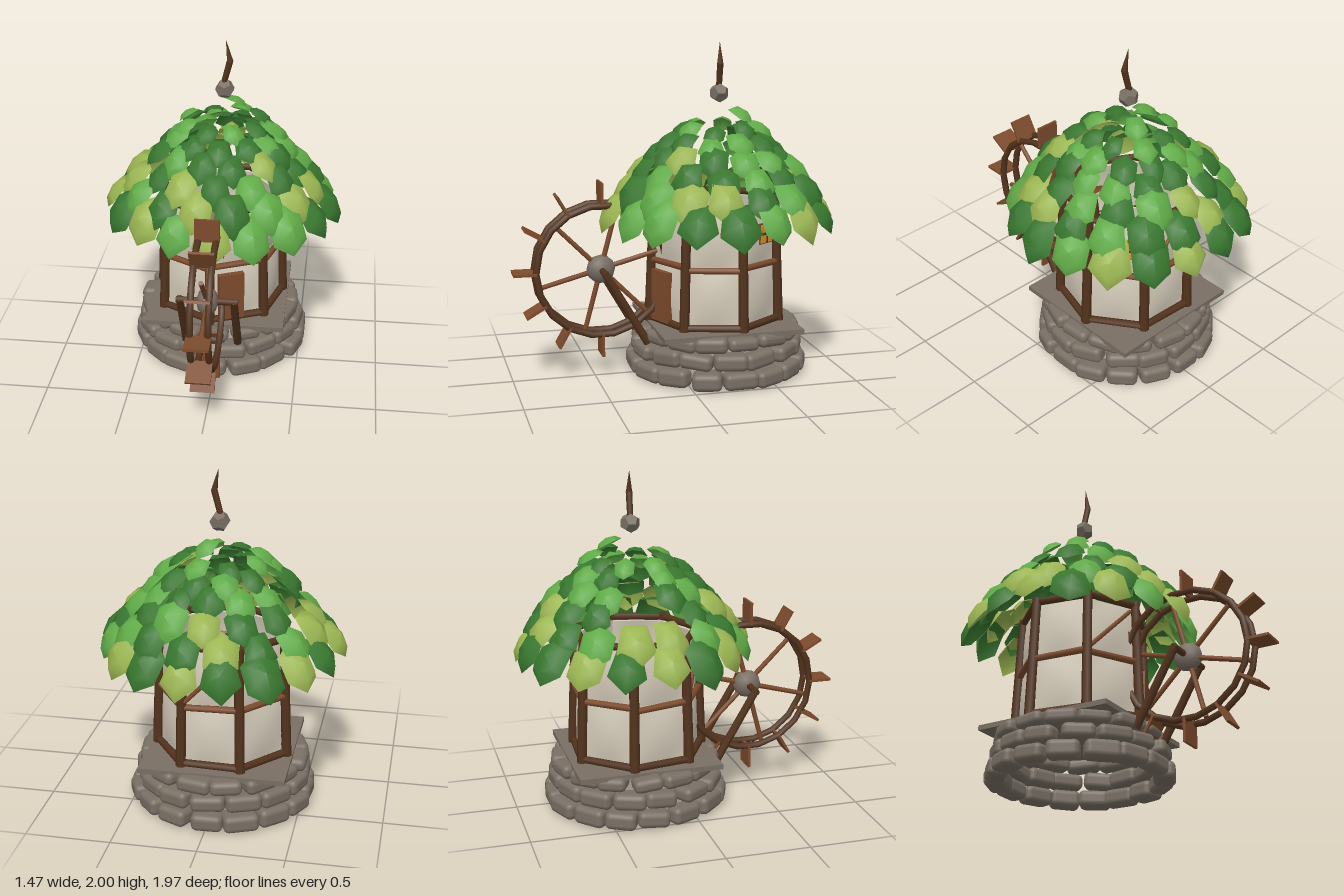
import * as THREE from 'three';
import { RoundedBoxGeometry } from 'three/addons/geometries/RoundedBoxGeometry.js';

const mat = (name, color, side = THREE.FrontSide) => {
  const m = new THREE.MeshStandardMaterial({ color, side });
  m.name = name;
  return m;
};

export function createModel() {
  const stone = mat('stone', 0x796f64);
  const plaster = mat('plaster', 0xd3cab8);
  const darkWood = mat('darkWood', 0x53331d);
  const lightWood = mat('lightWood', 0x7d4b2c);
  const amber = mat('amberGlass', 0xe0922a);
  const greens = [
    mat('darkLeaf', 0x38772f, THREE.DoubleSide),
    mat('midLeaf', 0x60ab47, THREE.DoubleSide),
    mat('limeLeaf', 0x9bb652, THREE.DoubleSide),
  ];

  let seed = 7;
  const rand = () => (seed = (seed * 16807) % 2147483647) / 2147483647;
  const vary = (a) => (rand() - 0.5) * 2 * a;
  const V = (x, y, z) => new THREE.Vector3(x, y, z);

  const model = new THREE.Group();
  model.name = 'leafRoofedWatermill';
  const group = (name, x, y, z) => {
    const g = new THREE.Group();
    g.name = name;
    g.position.set(x, y, z);
    model.add(g);
    return g;
  };
  const add = (parent, name, geo, material, x = 0, y = 0, z = 0) => {
    const m = new THREE.Mesh(geo, material);
    m.name = name;
    m.position.set(x, y, z);
    parent.add(m);
    return m;
  };
  // Round timber between two points
  const beam = (parent, name, a, b, r, material = darkWood, taper = 0.9) => {
    const d = b.clone().sub(a);
    const m = add(parent, name, new THREE.CylinderGeometry(r * taper, r, d.length(), 7), material);
    m.position.copy(a).addScaledVector(d, 0.5);
    m.quaternion.setFromUnitVectors(V(0, 1, 0), d.normalize());
    return m;
  };

  // Rings of rough foundation stones
  const base = group('foundation', -0.015, 0, -0.265);
  [[0.055, 0.49, 16, 0.105], [0.162, 0.465, 15, 0.096], [0.26, 0.445, 15, 0.085]].forEach(([y, r, n, h], row) => {
    for (let i = 0; i < n; i++) {
      const a = ((i + row * 0.5 + vary(0.08)) / n) * Math.PI * 2;
      const w = ((2 * Math.PI * r) / n) * (1.0 + vary(0.1));
      const s = add(base, 'foundationStone', new RoundedBoxGeometry(w, h + vary(0.008), 0.125 + vary(0.02), 3, 0.034),
        stone, Math.sin(a) * r, y, Math.cos(a) * r);
      s.rotation.set(vary(0.08), a + vary(0.08), vary(0.06));
    }
  });
  add(base, 'floorSlab', new THREE.BoxGeometry(0.86, 0.03, 0.86), stone, 0, 0.3, 0);

  // Seven-sided timber frame
  const house = group('house', -0.02, 0, -0.255);
  const SIDES = 7;
  const angle = (k) => ((-10 + (k * 360) / SIDES) * Math.PI) / 180;
  const radius = (y) => 0.406 - (y - 0.3) * 0.04;
  const corner = (k, y) => V(Math.cos(angle(k)) * radius(y), y, Math.sin(angle(k)) * radius(y));
  for (let k = 0; k < SIDES; k++) {
    beam(house, 'cornerPost', corner(k, 0.31), corner(k, 1.07), 0.031);
    beam(house, 'sillBeam', corner(k, 0.335), corner(k + 1, 0.335), 0.024);
    beam(house, 'middleRail', corner(k, 0.69 + vary(0.012)), corner(k + 1, 0.69 + vary(0.012)), 0.021, lightWood);
    beam(house, 'topPlate', corner(k, 1.05), corner(k + 1, 1.05), 0.023);
  }

  // Bulging plaster infill
  const panelGeo = (w, h) => {
    const g = new THREE.BoxGeometry(w, h, 0.02, 6, 6, 1);
    const p = g.attributes.position;
    for (let i = 0; i < p.count; i++) {
      const u = (2 * p.getX(i)) / w, v = (2 * p.getY(i)) / h;
      p.setZ(i, p.getZ(i) + 0.022 * (1 - u * u) * (1 - v * v));
    }
    g.computeVertexNormals();
    return g;
  };
  const walls = [];
  for (let k = 0; k < SIDES; k++) {
    const wall = new THREE.Group();
    wall.name = 'wall';
    wall.rotation.y = Math.PI / 2 - angle(k + 0.5);
    house.add(wall);
    walls.push(wall);
    [[0.51, 0.33, 0.332], [0.865, 0.33, 0.322]].forEach(([y, h, z]) => {
      add(wall, 'plasterPanel', panelGeo(0.32, h), plaster, 0, y, z).rotation.x = -0.03;
    });
  }
  // Diagonal braces, door and glowing window
  [2, 5].forEach((k) => beam(walls[k], 'brace', V(-0.15, 0.72, 0.36), V(0.12, 1.0, 0.352), 0.014, lightWood));
  add(walls[1], 'door', new THREE.BoxGeometry(0.16, 0.31, 0.035), lightWood, -0.04, 0.49, 0.372);
  const win = walls[6];
  add(win, 'windowFrame', new THREE.BoxGeometry(0.125, 0.125, 0.03), lightWood, 0.045, 0.878, 0.346);
  add(win, 'windowPane', new THREE.BoxGeometry(0.11, 0.11, 0.008), amber, 0.045, 0.878, 0.363);
  add(win, 'windowBar', new THREE.BoxGeometry(0.014, 0.11, 0.008), darkWood, 0.045, 0.878, 0.367);
  add(win, 'windowBar', new THREE.BoxGeometry(0.11, 0.014, 0.008), darkWood, 0.045, 0.878, 0.367);

  // Rows of cupped leaves forming the dome roof
  const roof = group('roof', 0, 0, -0.275);
  const leafGeo = [6, 5].map((n) => new THREE.LatheGeometry([[0.108, -0.026], [0.07, 0.014], [0, 0.03]]
    .map(([r, y]) => new THREE.Vector2(r, y)), n));
  const leaf = (r, y, phi, tilt, size, green) => {
    const m = add(roof, 'roofLeaf', leafGeo[rand() < 0.5 ? 0 : 1], greens[green],
      Math.sin(phi) * r, y, Math.cos(phi) * r);
    m.rotation.order = 'YXZ';
    m.rotation.set(tilt + vary(0.1), phi + vary(0.12), vary(0.12));
    m.scale.set(size, size * 1.15, size * 1.25);
  };
  // radius, height, tilt, size, green of each leaf from the front round by the left
  [[0.652, 1.022, 0.95, 1.13, '21100120200202021'], [0.57, 1.135, 0.9, 1.06, '0122010020122102'],
    [0.48, 1.245, 0.82, 0.99, '01001012002102'], [0.39, 1.345, 0.74, 0.9, '0201100110010'],
    [0.31, 1.43, 0.64, 0.78, '00110010010'], [0.24, 1.495, 0.55, 0.66, '10010110'],
  ].forEach(([r, y, tilt, size, shades], row) => {
    const n = shades.length;
    for (let i = 0; i < n; i++) {
      const phi = ((i + (row % 2) * 0.5) / n) * Math.PI * 2;
      const gap = row > 1 && row < 5 && Math.abs(phi - Math.PI * 1.5) < 0.25;
      if (!gap) leaf(r + vary(0.02), y + vary(0.015), phi, tilt, size * (1 + vary(0.08)), +shades[i]);
    }
  });
  leaf(0.14, 1.585, 2.65, 0.6, 0.66, 1);

  // Finial pebble and crooked twig
  add(roof, 'finialStone', new THREE.DodecahedronGeometry(0.06), stone, 0.005, 1.7, 0);
  beam(roof, 'finialTwigBase', V(0, 1.74, 0), V(0.037, 1.88, 0.004), 0.018, darkWood, 1.1);
  beam(roof, 'finialTwigTip', V(0.037, 1.87, 0.004), V(0.012, 2.0, 0), 0.02, darkWood, 0.05);

  // Water wheel turning about the x axis
  const wheel = group('waterWheel', -0.015, 0.655, 0.455);
  const rimGeo = new THREE.TorusGeometry(0.398, 0.021, 6, 18);
  [-0.052, 0.052].forEach((x) => {
    add(wheel, 'wheelRim', rimGeo, darkWood, x).rotation.y = Math.PI / 2;
  });
  for (let i = 0; i < 12; i++) {
    const a = (i * Math.PI) / 6;
    const p = add(wheel, 'paddle', new THREE.BoxGeometry(0.145, 0.14, 0.016), lightWood,
      0, Math.cos(a) * 0.462, Math.sin(a) * 0.462);
    p.rotation.x = a;
  }
  for (let i = 0; i < 6; i++) {
    const a = (15 * Math.PI) / 180 + (i * Math.PI) / 3;
    beam(wheel, 'spoke', V(0, 0, 0), V(0, Math.sin(a) * 0.4, -Math.cos(a) * 0.4), 0.016, lightWood);
  }
  add(wheel, 'hub', new THREE.IcosahedronGeometry(0.088, 1), stone).scale.x = 0.75;

  // Axle and its slanted supports
  beam(model, 'axle', V(-0.2, 0.655, 0.455), V(0.165, 0.655, 0.455), 0.02, darkWood, 1);
  [-0.18, 0.14].forEach((x) => beam(model, 'axleSupport', V(x, 0.22, 0.2), V(x, 0.665, 0.46), 0.026));

  return model;
}
